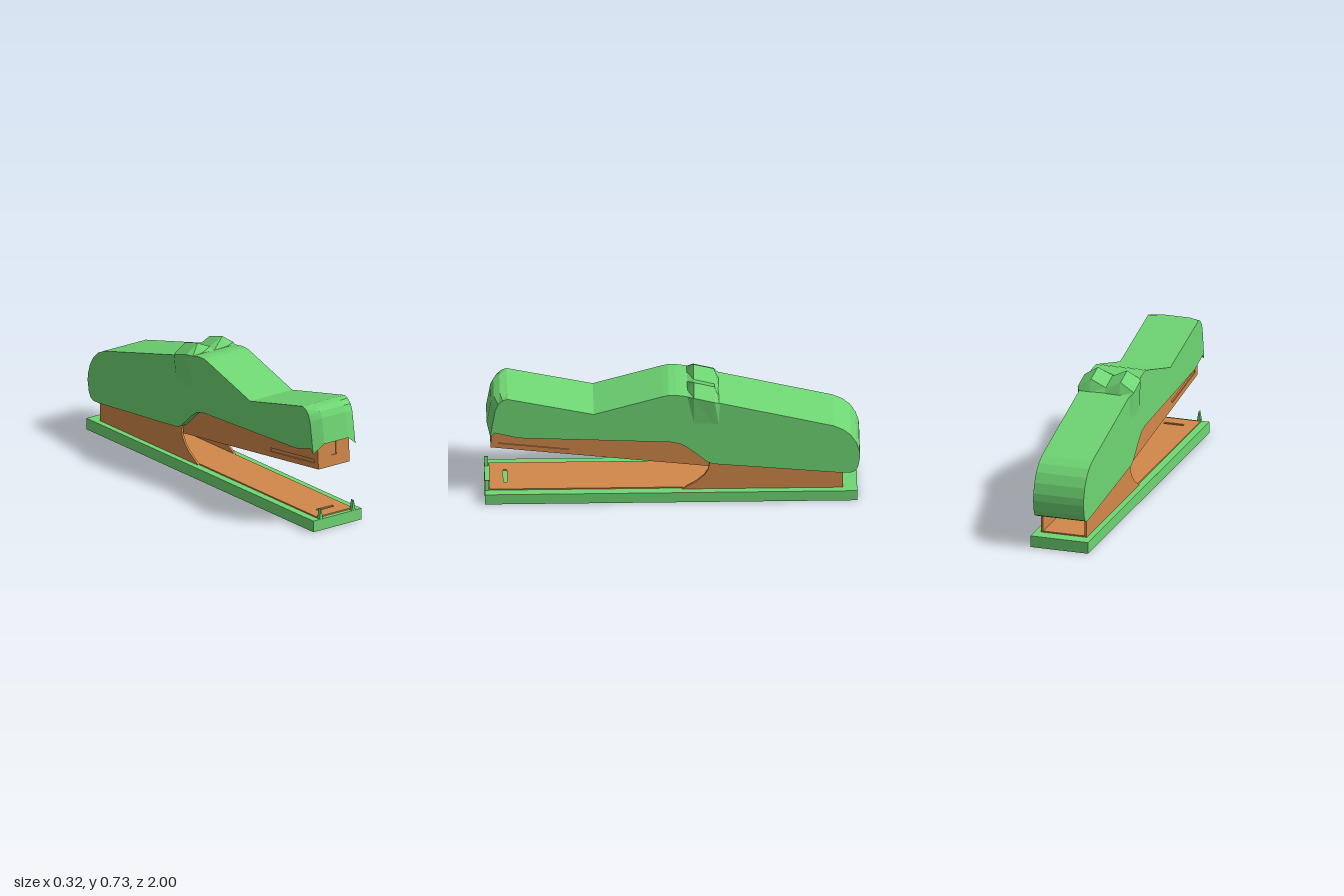
import * as THREE from 'three';

const green = new THREE.MeshStandardMaterial({ color: 0x6fd673, flatShading: true });
const orange = new THREE.MeshStandardMaterial({ color: 0xd2884a, flatShading: true });

function add(parent, name, geometry, material) {
  const mesh = new THREE.Mesh(geometry, material);
  mesh.name = name;
  parent.add(mesh);
  return mesh;
}

const toShape = pts => new THREE.Shape(pts.map(p => new THREE.Vector2(p[0], p[1])));

function slab(pts, depth, hole) {
  const shape = toShape(pts);
  if (hole) shape.holes.push(toShape(hole));
  return new THREE.ExtrudeGeometry(shape, { depth, bevelEnabled: false });
}

// Side profile given as [z, y], extruded from x0 to x1
function sideSlab(pts, x0, x1, hole) {
  return slab(pts, x1 - x0, hole).rotateY(-Math.PI / 2).translate(x1, 0, 0);
}

const rect = (x0, y0, x1, y1) => [[x0, y0], [x1, y0], [x1, y1], [x0, y1]];

// Joins counter-clockwise sections of equal size, each { w, pts }, and caps both ends
function loft(sections) {
  const pos = [];
  const n = sections[0].pts.length;
  const at = (s, j) => [...s.pts[j % n], s.w];
  const tri = (...corners) => corners.forEach(c => pos.push(...c));
  for (let i = 0; i < sections.length - 1; i++) {
    const s = sections[i], t = sections[i + 1];
    for (let j = 0; j < n; j++) {
      tri(at(s, j), at(s, j + 1), at(t, j + 1));
      tri(at(s, j), at(t, j + 1), at(t, j));
    }
  }
  [sections[0], sections[sections.length - 1]].forEach((s, end) => {
    const flat = s.pts.map(p => new THREE.Vector2(p[0], p[1]));
    for (const f of THREE.ShapeUtils.triangulateShape(flat, [])) {
      const [a, b, c] = f.map(k => flat[k]);
      const ccw = (b.x - a.x) * (c.y - a.y) - (b.y - a.y) * (c.x - a.x) > 0;
      const order = ccw === (end === 1) ? f : [f[0], f[2], f[1]];
      tri(...order.map(k => at(s, k)));
    }
  });
  const g = new THREE.BufferGeometry();
  g.setAttribute('position', new THREE.Float32BufferAttribute(pos, 3));
  g.computeVertexNormals();
  return g;
}

export function createModel() {
  const model = new THREE.Group();
  model.name = 'stapler';

  // Base and the two upright fangs at its front
  add(model, 'base', new THREE.BoxGeometry(0.324, 0.063, 1.985).translate(0, 0.0315, 0.0075), green);
  for (const s of [-1, 1]) {
    const fang = slab([[-0.012, 0.06], [0.012, 0.06], [0.002, 0.12], [-0.002, 0.12]], 0.02);
    add(model, 'fang', fang.translate(s * 0.109, 0, 0.979), green);
  }

  // Floor plate with the anvil recess
  const floor = slab(rect(-0.12, -0.975, 0.12, 0.91), 0.01, rect(-0.055, -0.9, 0.055, -0.88));
  add(model, 'floorPlate', floor.rotateX(-Math.PI / 2).translate(0, 0.06, 0), orange);

  // Hinge bracket cheeks
  const cheek = [[-0.91, 0.06], [-0.045, 0.06], [-0.08, 0.083], [-0.13, 0.115], [-0.17, 0.155],
    [-0.19, 0.19], [-0.2, 0.243], [-0.91, 0.243]];
  add(model, 'leftBracket', sideSlab(cheek, 0.117, 0.129), orange);
  add(model, 'rightBracket', sideSlab(cheek, -0.129, -0.117), orange);

  // Staple magazine: core, slotted side panels and notched front
  const magazine = new THREE.Group();
  magazine.name = 'magazine';
  model.add(magazine);
  const outline = [[0.965, 0.334], [0.955, 0.485], [0, 0.5], [-0.9, 0.27], [-0.9, 0.167], [-0.43, 0.167]];
  const slot = [[0.93, 0.36], [0.93, 0.38], [0.55, 0.334], [0.55, 0.314]];
  add(magazine, 'magazineCore', sideSlab(outline, -0.1, 0.1), orange);
  add(magazine, 'leftPanel', sideSlab(outline, 0.1, 0.105, slot), orange);
  add(magazine, 'rightPanel', sideSlab(outline, -0.105, -0.1, slot), orange);
  const face = slab([[-0.105, 0], [0.105, 0], [0.105, 0.15], [0.018, 0.15], [0.018, 0.061],
    [-0.018, 0.061], [-0.018, 0.15], [-0.105, 0.15]], 0.006);
  add(magazine, 'magazineFront', face.rotateX(-0.066).translate(0, 0.334, 0.964), orange);

  // Upper body: a shared profile, with the snout corners cut back and hanging lower at the sides
  const rest = [[0.88, 0.676], [0.42, 0.57], [0.05, 0.683], [0.02, 0.69], [-0.02, 0.69], [-0.07, 0.682],
    [-0.86, 0.477], [-0.91, 0.452], [-0.95, 0.415], [-0.98, 0.365], [-0.997, 0.31], [-1, 0.27],
    [-0.99, 0.21], [-0.975, 0.18], [-0.95, 0.168], [-0.9, 0.168], [-0.22, 0.235], [-0.185, 0.25],
    [-0.13, 0.3], [-0.08, 0.345], [-0.04, 0.37], [0.01, 0.382], [0.82, 0.42]];
  const middle = [[0.99, 0.48], [0.967, 0.62], [0.952, 0.653], [0.92, 0.672], ...rest, [0.95, 0.48]];
  const side = [[0.972, 0.43], [0.945, 0.605], [0.93, 0.642], [0.905, 0.667], ...rest, [0.948, 0.455]];
  const body = loft([
    { w: -0.142, pts: side }, { w: -0.08, pts: middle },
    { w: 0.08, pts: middle }, { w: 0.142, pts: side },
  ]);
  add(model, 'upperBody', body.rotateY(-Math.PI / 2), green);

  // Pair of peaked eyes bulging from the crown
  const eyeSection = (w, halfWidth, edge, peak, valley) => ({ w, pts: [
    [-0.14, 0.48], [0.14, 0.48], [halfWidth, edge], [0.083, peak], [0, valley],
    [-0.083, peak], [-halfWidth, edge]] });
  add(model, 'eyes', loft([
    eyeSection(-0.25, 0.142, 0.632, 0.634, 0.63),
    eyeSection(-0.225, 0.158, 0.65, 0.7, 0.66),
    eyeSection(-0.115, 0.158, 0.68, 0.73, 0.69),
    eyeSection(-0.08, 0.142, 0.678, 0.682, 0.678),
  ]), green);

  return model;
}
